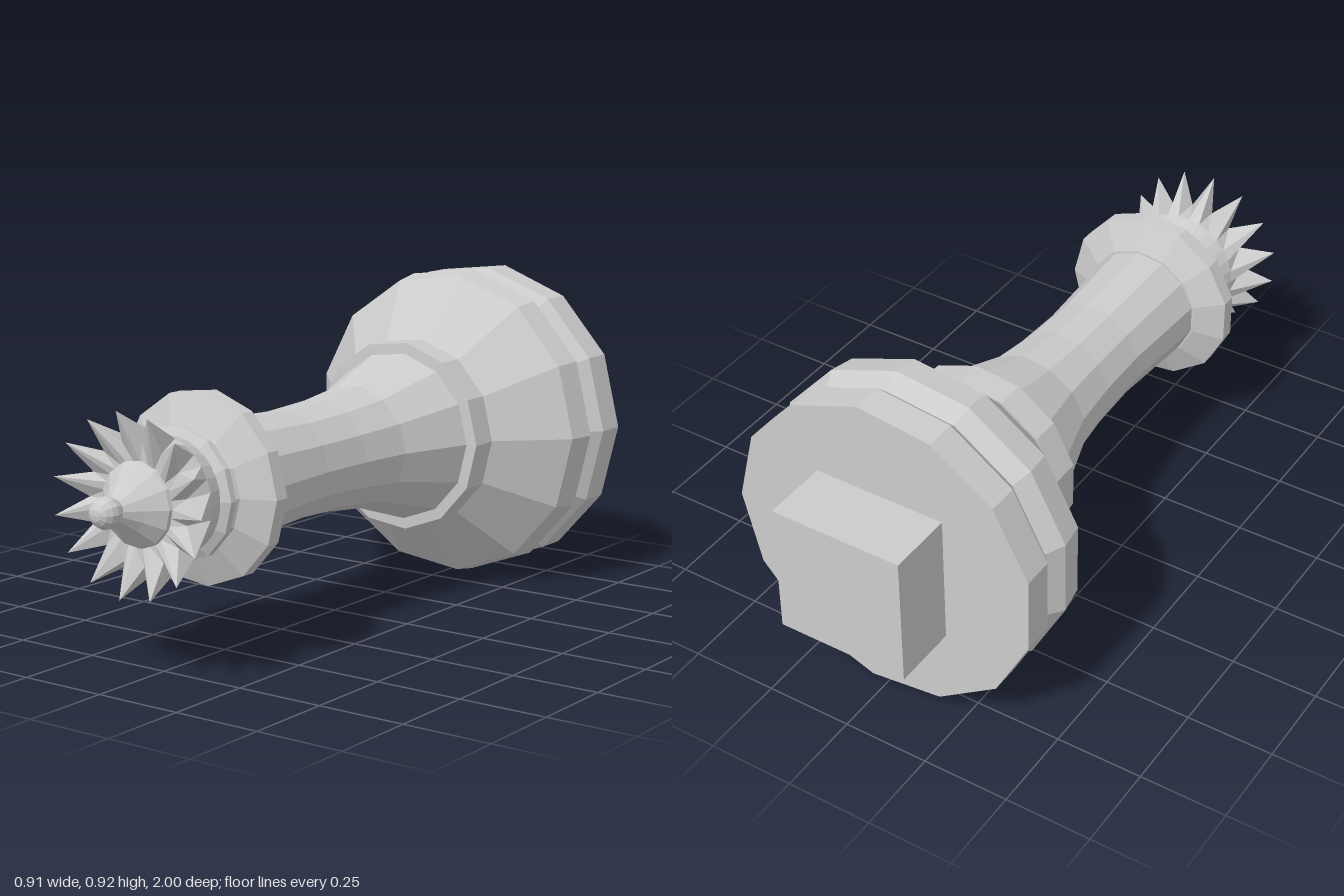
import * as THREE from 'three';

const SIDES = 13;
const SPIKES = 15;

// Faceted turned shape along +z from [radius, z] pairs, first corner at +x
function turned(profile, sides) {
  const points = profile.map(([r, z]) => new THREE.Vector2(r, z));
  return new THREE.LatheGeometry(points, sides, Math.PI / 2);
}

export function createModel() {
  const group = new THREE.Group();
  const material = new THREE.MeshStandardMaterial({ color: 0xcccccc, flatShading: true });
  const axis = new THREE.Group();
  axis.name = 'piece';
  axis.position.set(-0.005, 0.461, 0);
  group.add(axis);

  function add(name, geometry) {
    const mesh = new THREE.Mesh(geometry, material);
    mesh.name = name;
    axis.add(mesh);
    return mesh;
  }
  const addTurned = (name, profile, sides = SIDES) =>
    add(name, turned(profile, sides).rotateX(Math.PI / 2));

  // Square mounting peg behind the base
  add('peg', new THREE.BoxGeometry(0.385, 0.385, 0.2)).position.set(0.002, 0, -0.9);

  // Stepped base with a groove, flaring in to the lower collar
  addTurned('base', [
    [0, -0.81], [0.458, -0.81], [0.458, -0.72], [0.43, -0.69],
    [0.461, -0.64], [0.448, -0.56], [0.27, -0.395], [0, -0.395],
  ]);
  addTurned('lowerCollar', [
    [0, -0.395], [0.277, -0.395], [0.277, -0.312], [0.245, -0.31], [0, -0.31],
  ]);

  // Tapering shaft
  addTurned('shaft', [
    [0.245, -0.31], [0.178, -0.1], [0.16, 0.06], [0.154, 0.23], [0.17, 0.52],
  ]);

  // Upper collar and neck ring
  addTurned('upperCollar', [
    [0, 0.515], [0.175, 0.515], [0.26, 0.555], [0.26, 0.598], [0.17, 0.636], [0, 0.636],
  ]);
  addTurned('neck', [
    [0.17, 0.635], [0.16, 0.655], [0.181, 0.665], [0.181, 0.685], [0.155, 0.7], [0, 0.7],
  ]);

  // Spiked crown: every second column of the rim is pulled in and down
  const crownProfile = [
    [0, 0.69], [0.155, 0.695], [0.17, 0.75], [0.246, 0.885], [0.11, 0.835], [0, 0.835],
  ];
  const crown = turned(crownProfile, SPIKES * 2);
  const pos = crown.attributes.position;
  const rim = 3;
  for (let i = 1; i < SPIKES * 2; i += 2) {
    const k = i * crownProfile.length + rim;
    const s = 0.163 / Math.hypot(pos.getX(k), pos.getZ(k));
    pos.setXYZ(k, pos.getX(k) * s, 0.835, pos.getZ(k) * s);
  }
  crown.rotateX(Math.PI / 2);
  crown.computeVertexNormals();
  add('crown', crown);

  // Domed cap and ball finial
  addTurned('dome', [[0.118, 0.82], [0.112, 0.845], [0.068, 0.885], [0.028, 0.928], [0, 0.935]]);
  add('finial', new THREE.SphereGeometry(0.043, 12, 8).rotateX(Math.PI / 2)).position.z = 0.957;

  return group;
}
